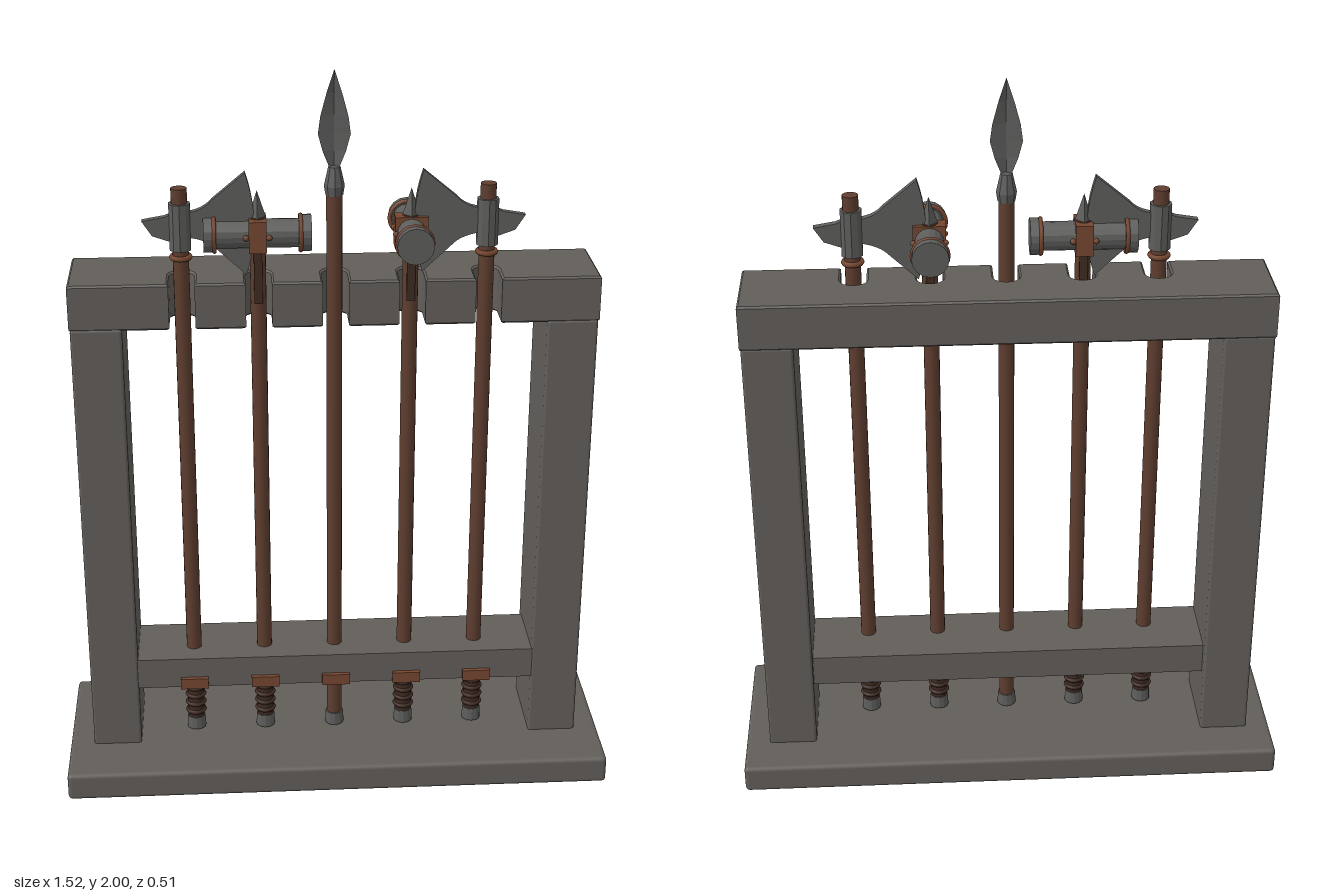
import * as THREE from 'three';
import { RoundedBoxGeometry } from 'three/addons/geometries/RoundedBoxGeometry.js';

const material = (name, color, flat = false) => {
  const m = new THREE.MeshStandardMaterial({ color, flatShading: flat });
  m.name = name;
  return m;
};

export function createModel() {
  const stone = material('stone', 0x625e5a);
  const wood = material('wood', 0x5e3d2f);
  const copper = material('copper', 0x754630);
  const steel = material('steel', 0x5d5e5c, true);
  const leather = material('leather', 0x3e2a22);
  const model = new THREE.Group();
  model.name = 'weaponRack';
  const Z = 0.018; // depth of the row of shafts

  const add = (parent, name, geo, mat, x = 0, y = 0, z = 0) => {
    const mesh = new THREE.Mesh(geo, mat);
    mesh.name = name;
    mesh.position.set(x, y, z);
    parent.add(mesh);
    return mesh;
  };
  const group = (name, x, y = 0) => {
    const g = new THREE.Group();
    g.name = name;
    g.position.set(x, y, Z);
    model.add(g);
    return g;
  };
  // Upright cylinder between two heights
  const rod = (parent, name, y0, y1, r0, r1, mat, sides = 16) =>
    add(parent, name, new THREE.CylinderGeometry(r1, r0, y1 - y0, sides), mat, 0, (y0 + y1) / 2);
  const ring = (parent, name, y, r, tube, mat) => {
    const t = add(parent, name, new THREE.TorusGeometry(r, tube, 6, 20), mat, 0, y);
    t.rotation.x = Math.PI / 2;
    return t;
  };
  const plate = (shape, depth) =>
    new THREE.ExtrudeGeometry(shape, { depth, bevelEnabled: false, curveSegments: 10 }).translate(0, 0, -depth / 2);

  // Stone frame
  add(model, 'base', new RoundedBoxGeometry(1.52, 0.08, 0.51, 2, 0.012), stone, 0, 0.04, 0);
  for (const s of [-1, 1])
    add(model, 'post', new RoundedBoxGeometry(0.135, 1.27, 0.235, 2, 0.008), stone, s * 0.625, 0.71, -0.021);
  add(model, 'lowerRail', new THREE.BoxGeometry(1.14, 0.09, 0.2), stone, 0, 0.305, -0.006);

  // Lintel with a slot open to the front for each shaft
  const slots = [-0.4, -0.2, 0, 0.2, 0.4];
  const outline = new THREE.Shape();
  const r = 0.034;
  outline.moveTo(-0.695, -0.095);
  for (const x of slots) {
    outline.lineTo(x - r, -0.095);
    outline.lineTo(x - r, -Z);
    outline.absarc(x, -Z, r, Math.PI, 0, true);
    outline.lineTo(x + r, -0.095);
  }
  outline.lineTo(0.695, -0.095);
  outline.lineTo(0.695, 0.14);
  outline.lineTo(-0.695, 0.14);
  outline.closePath();
  const lintelGeo = new THREE.ExtrudeGeometry(outline, {
    depth: 0.115, bevelThickness: 0.005, bevelSize: 0.005, bevelOffset: -0.005, bevelSegments: 1, curveSegments: 10,
  });
  add(model, 'lintel', lintelGeo, stone, 0, 1.345, 0).rotation.x = -Math.PI / 2;

  // Copper clips on the front of the rail
  for (const x of slots)
    add(model, 'clip', new THREE.BoxGeometry(0.078, 0.032, 0.014), copper, x, 0.275, 0.099);

  // Shaft with end cap and, where wanted, a wrapped grip
  function shaft(g, top, grip) {
    rod(g, 'shaft', 0.1, top, 0.021, 0.021, wood);
    rod(g, 'endCap', 0.085, 0.122, 0.027, 0.025, steel, 12);
    if (!grip) return;
    rod(g, 'grip', 0.122, 0.255, 0.023, 0.023, leather);
    for (let i = 0; i < 5; i++) ring(g, 'gripRing', 0.14 + i * 0.026, 0.024, 0.006, leather);
  }

  // Axes, blades facing the middle
  const blade = new THREE.Shape();
  blade.moveTo(-0.015, 1.635);
  blade.quadraticCurveTo(-0.06, 1.64, -0.083, 1.668);
  blade.lineTo(-0.17, 1.74);
  blade.quadraticCurveTo(-0.215, 1.6, -0.17, 1.465);
  blade.lineTo(-0.085, 1.545);
  blade.quadraticCurveTo(-0.06, 1.565, -0.015, 1.57);
  const spike = new THREE.Shape();
  spike.moveTo(0.015, 1.635);
  spike.lineTo(0.04, 1.625);
  spike.lineTo(0.098, 1.615);
  spike.lineTo(0.072, 1.575);
  spike.lineTo(0.015, 1.555);
  for (const s of [-1, 1]) {
    const axe = group('axe', s * 0.4);
    if (s < 0) axe.rotation.y = Math.PI;
    shaft(axe, 1.7, true);
    rod(axe, 'axeSocket', 1.535, 1.66, 0.029, 0.029, steel, 10);
    ring(axe, 'axeCollar', 1.515, 0.024, 0.007, copper);
    add(axe, 'axeBlade', plate(blade, 0.02), steel);
    add(axe, 'axeSpike', plate(spike, 0.02), steel);
  }

  // Hammers, the second turned a quarter
  for (const s of [-1, 1]) {
    const hammer = group('hammer', s * 0.2);
    shaft(hammer, 1.62, true);
    const head = new THREE.Group();
    head.name = 'hammerHead';
    head.position.y = 1.575;
    if (s > 0) head.rotation.y = Math.PI / 2;
    hammer.add(head);
    const barrel = new THREE.Group();
    barrel.name = 'barrel';
    barrel.rotation.z = Math.PI / 2;
    head.add(barrel);
    rod(barrel, 'barrelCore', -0.11, 0.11, 0.038, 0.038, steel, 16);
    for (const e of [-1, 1]) {
      rod(barrel, 'strikingFace', e * 0.125 - 0.015, e * 0.125 + 0.015, 0.048, 0.048, steel, 16);
      ring(barrel, 'barrelBand', e * 0.112, 0.046, 0.006, copper);
      // Rivets beside the collar
      for (const side of [-1, 1])
        add(head, 'rivet', new THREE.SphereGeometry(0.008, 8, 6), copper, e * 0.03, 0, side * 0.042);
    }
    add(head, 'collar', new THREE.BoxGeometry(0.046, 0.084, 0.086), copper);
    add(head, 'topSpike', new THREE.ConeGeometry(0.024, 0.075, 4), steel, 0, 0.078, 0);
    // Straps running down the shaft
    for (const side of [-1, 1])
      add(hammer, 'strap', new THREE.BoxGeometry(0.022, 0.15, 0.008), leather, 0, 1.465, side * 0.022);
  }

  // Spear in the middle
  const spear = group('spear', 0);
  shaft(spear, 1.69, false);
  rod(spear, 'spearSocketBase', 1.675, 1.7, 0.023, 0.027, steel, 8);
  rod(spear, 'spearSocket', 1.7, 1.75, 0.027, 0.016, steel, 8);
  // Leaf blade: stacked diamond sections
  const leaf = [[1.74, 0.01], [1.79, 0.03], [1.835, 0.042], [1.88, 0.036], [1.94, 0.02], [2.0, 0.0005]];
  const pos = [];
  const index = [];
  leaf.forEach(([y, w], i) => {
    const t = Math.min(w, 0.009);
    pos.push(w, y, 0, 0, y, t, -w, y, 0, 0, y, -t);
    if (i === 0) return;
    for (let k = 0; k < 4; k++) {
      const a = (i - 1) * 4 + k, b = (i - 1) * 4 + ((k + 1) % 4);
      index.push(a, a + 4, b, b, a + 4, b + 4);
    }
  });
  const leafGeo = new THREE.BufferGeometry();
  leafGeo.setAttribute('position', new THREE.Float32BufferAttribute(pos, 3));
  // Reverse the winding so the faces look outward
  for (let i = 0; i < index.length; i += 3) [index[i + 1], index[i + 2]] = [index[i + 2], index[i + 1]];
  leafGeo.setIndex(index);
  leafGeo.computeVertexNormals();
  add(spear, 'spearBlade', leafGeo, steel);

  return model;
}
